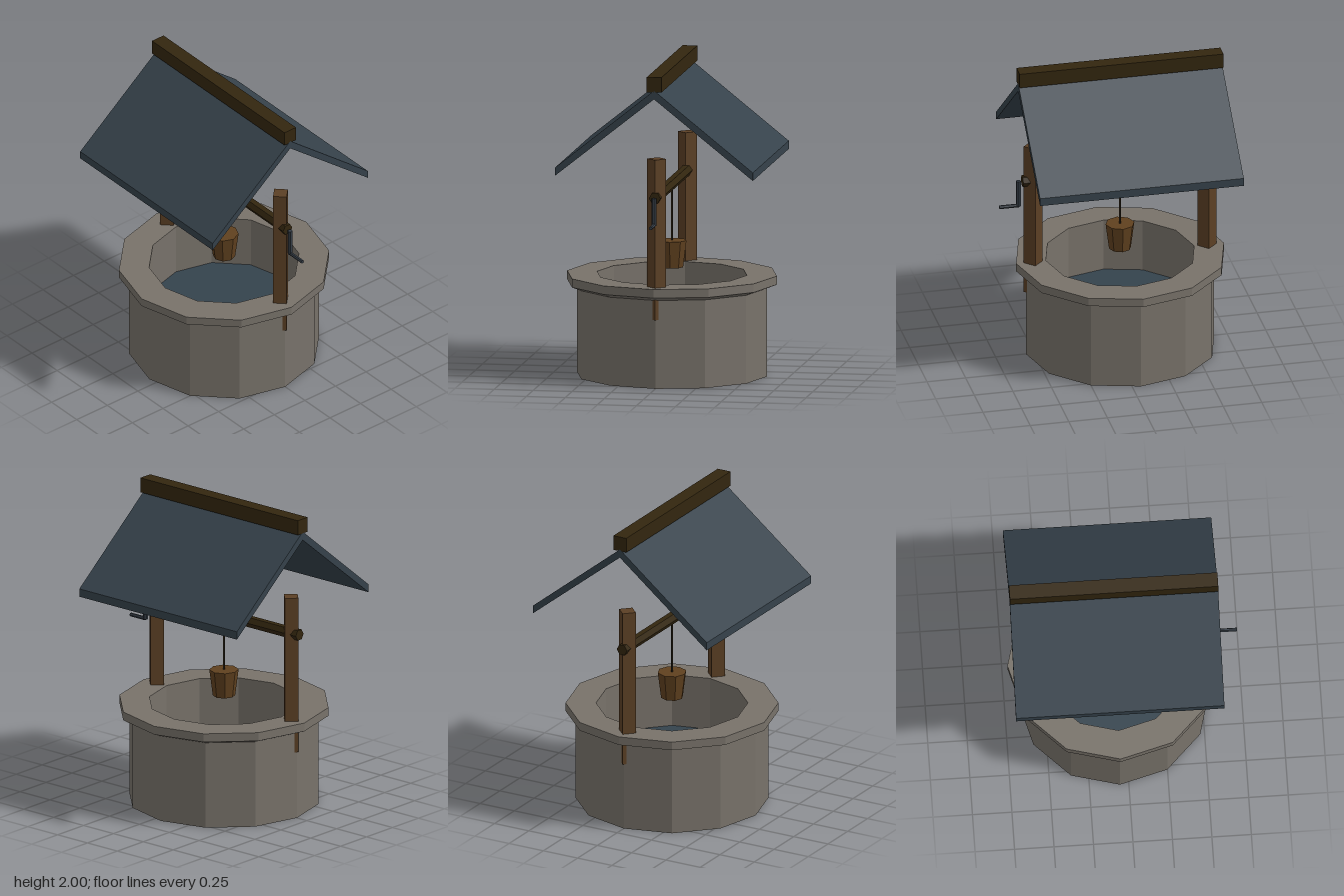
import * as THREE from 'three';

const CX = -0.056; // axis of the well

function material(name, color) {
  const m = new THREE.MeshStandardMaterial({ color });
  m.name = name;
  return m;
}

// Split shared vertices so every face is flat
function faceted(geometry) {
  const g = geometry.index ? geometry.toNonIndexed() : geometry;
  g.computeVertexNormals();
  return g;
}

export function createModel() {
  const well = new THREE.Group();
  well.name = 'well';

  const stone = material('stone', 0x78726a);
  const timber = material('timber', 0x5c4025);
  const darkWood = material('dark wood', 0x33260f);
  const bucketWood = material('bucket wood', 0x60411f);
  const slate = material('slate', 0x36424b);
  const iron = material('iron', 0x353d46);
  const water = material('water', 0x34434d);
  const ropeFibre = material('rope', 0x32281a);

  function add(name, geometry, mat, x = CX, y = 0, z = 0) {
    const mesh = new THREE.Mesh(faceted(geometry), mat);
    mesh.name = name;
    mesh.position.set(x, y, z);
    well.add(mesh);
    return mesh;
  }

  // Upright or sideways prism between two positions along its axis
  function rod(radius, length, sides, sideways = false) {
    const g = new THREE.CylinderGeometry(radius, radius, length, sides);
    return sideways ? g.rotateZ(Math.PI / 2) : g;
  }

  // Twelve-sided stone wall with an overhanging rim and hollow shaft
  const profile = [
    [0, 0], [0.61, 0], [0.61, 0.565], [0.673, 0.59],
    [0.673, 0.645], [0.48, 0.645], [0.48, 0.28], [0, 0.28],
  ].map(([r, y]) => new THREE.Vector2(r, y));
  add('stoneWall', new THREE.LatheGeometry(profile, 12), stone);
  add('water', new THREE.CircleGeometry(0.48, 12).rotateX(-Math.PI / 2), water, CX, 0.3);

  // Diamond-section posts, corner facing forward
  for (const [name, side] of [['leftPost', 1], ['rightPost', -1]]) {
    add(name, rod(0.061, 1.025, 4), timber, CX + side * 0.5625, 0.9525);
  }

  // Windlass
  add('axle', rod(0.0375, 1.268, 6, true), darkWood, CX, 1.222);
  add('crankArm', rod(0.016, 0.175, 6), iron, 0.602, 1.1375);
  add('crankHandle', rod(0.012, 0.125, 6, true), iron, 0.6635, 1.053);

  // Rope and bucket
  add('rope', rod(0.008, 0.36, 6), ropeFibre, CX, 1.03);
  add('bucket', new THREE.CylinderGeometry(0.093, 0.071, 0.172, 8), bucketWood, CX, 0.771);

  // Gabled roof, one folded slab with upright eaves
  const gable = new THREE.Shape([
    [0, 1.915], [-0.634, 1.407], [-0.634, 1.355],
    [0, 1.86], [0.634, 1.355], [0.634, 1.407],
  ].map(([z, y]) => new THREE.Vector2(z, y)));
  const slab = new THREE.ExtrudeGeometry(gable, { depth: 1.32, bevelEnabled: false });
  slab.translate(0, 0, -0.66).rotateY(Math.PI / 2);
  add('roof', slab, slate);
  add('ridgeBeam', new THREE.BoxGeometry(1.32, 0.096, 0.094), darkWood, CX, 1.952);

  return well;
}
